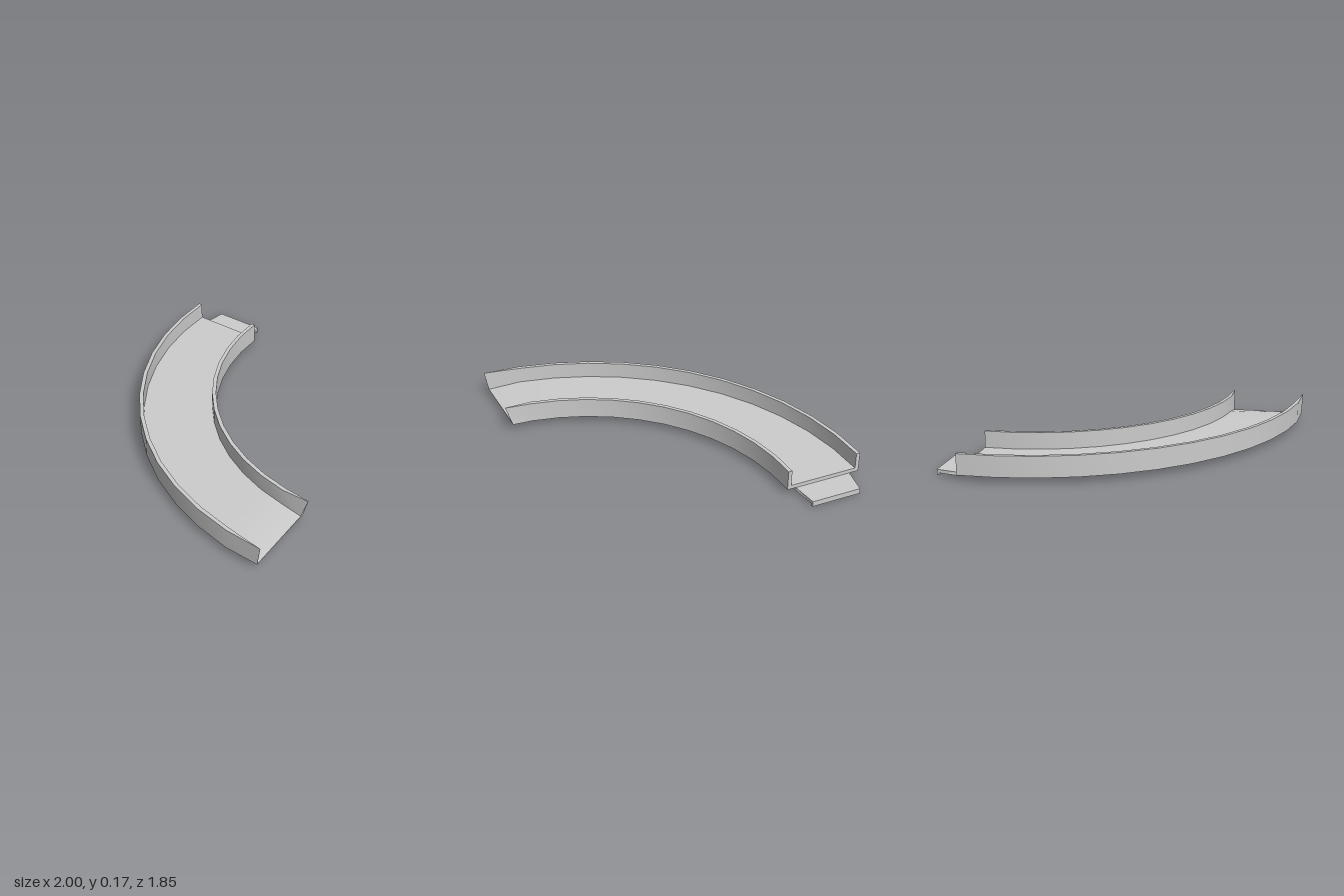
import * as THREE from 'three';

const CX = 0.84, CZ = 0.92, STEPS = 12;

// U-shaped channel section as [radius, height], counter-clockwise
const SECTION = [
  [1.35, 0.04], [1.845, 0.04], [1.845, 0.173], [1.82, 0.173],
  [1.82, 0.066], [1.375, 0.066], [1.375, 0.173], [1.35, 0.173],
];
// the far end tapers to a thin leading edge
const TIP = [
  [-0.505, 0.04, 0.875], [-0.995, 0.04, 0.898], [-1, 0.173, 0.92], [-0.999, 0.173, 0.92],
  [-0.993, 0.042, 0.898], [-0.525, 0.042, 0.873], [-0.52, 0.173, 0.915], [-0.516, 0.173, 0.915],
];

function ring(i) {
  if (i === STEPS) return TIP;
  const a = (i / STEPS) * Math.PI / 2;
  return SECTION.map(([r, y]) => [CX - r * Math.sin(a), y, CZ - r * Math.cos(a)]);
}

function toGeometry(pos, idx) {
  const g = new THREE.BufferGeometry();
  g.setAttribute('position', new THREE.Float32BufferAttribute(pos, 3));
  g.setIndex(idx);
  g.computeVertexNormals();
  return g;
}

// sweep the section; each face strip has its own vertices so its edges stay sharp
function channelGeometry() {
  const pos = [], idx = [], n = SECTION.length;
  const rings = Array.from({ length: STEPS + 1 }, (_, i) => ring(i));
  for (let k = 0; k < n; k++) {
    const base = pos.length / 3;
    rings.forEach(r => pos.push(...r[k], ...r[(k + 1) % n]));
    for (let i = 0; i < STEPS; i++) {
      const p = base + i * 2;
      idx.push(p, p + 2, p + 1, p + 1, p + 2, p + 3);
    }
  }
  // end caps
  const tris = THREE.ShapeUtils.triangulateShape(SECTION.map(([r, y]) => new THREE.Vector2(r, y)), []);
  for (const [r, flip] of [[rings[0], false], [rings[STEPS], true]]) {
    const base = pos.length / 3;
    r.forEach(p => pos.push(...p));
    tris.forEach(([a, b, c]) => idx.push(base + a, base + (flip ? c : b), base + (flip ? b : c)));
  }
  return toGeometry(pos, idx);
}

// connector tongue: side profile extruded across the track, narrowing to its tip
function tongueGeometry() {
  const shape = new THREE.Shape([
    [0.785, 0.042], [0.84, 0.015], [0.985, 0.015], [0.985, 0],
    [1, 0], [1, 0.036], [0.84, 0.036], [0.83, 0.042],
  ].map(p => new THREE.Vector2(...p)));
  const g = new THREE.ExtrudeGeometry(shape, { depth: 1, bevelEnabled: false });
  const p = g.attributes.position;
  for (let i = 0; i < p.count; i++) {
    const t = Math.max(0, (p.getX(i) - 0.84) / 0.16);
    const half = THREE.MathUtils.lerp(0.187, 0.163, t);
    p.setZ(i, -0.678 + (p.getZ(i) * 2 - 1) * half);
  }
  g.computeVertexNormals();
  return g;
}

export function createModel() {
  const model = new THREE.Group();
  model.name = 'curvedTrack';
  const grey = new THREE.MeshStandardMaterial({ color: 0xcccccc });
  grey.name = 'lightGrey';
  const add = (name, geometry) => {
    const mesh = new THREE.Mesh(geometry, grey);
    mesh.name = name;
    model.add(mesh);
  };
  add('curvedChannel', channelGeometry());
  add('connectorTongue', tongueGeometry());
  return model;
}
